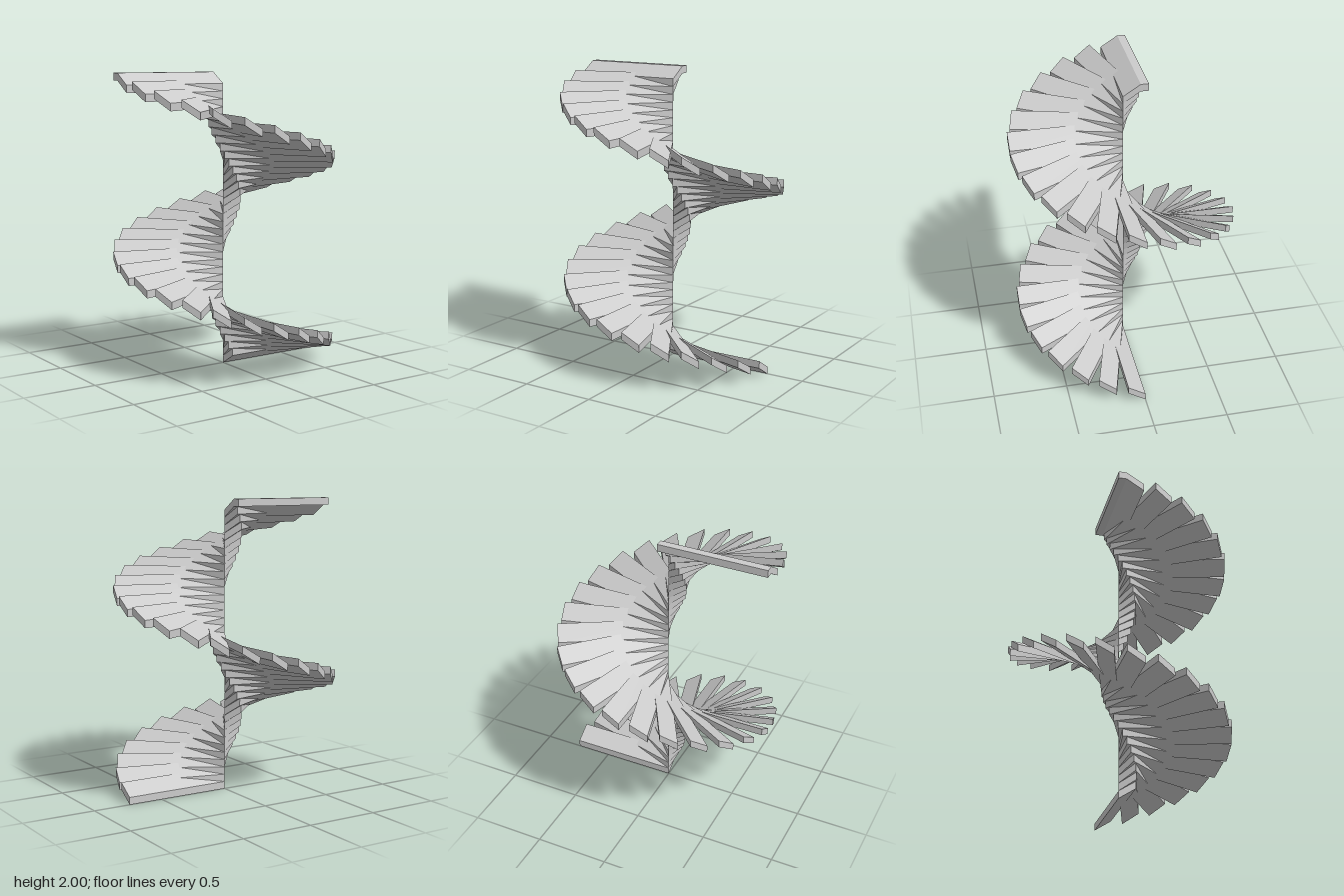
import * as THREE from 'three';

const STEPS = 36;            // intervals between slats
const TURN = Math.PI / 12;   // 15 degrees per slat
const RISE = 1.875 / STEPS;
const LENGTH = 0.742;
const WIDTH = 0.117;
const THICK = 0.05;
const SLOPE = 0.075;         // rise across one slat
const LIP = 0.053;           // flat strip on the last slat

// Extrude a cross-section outward from the axis along +z
function slatGeometry(points) {
  const shape = new THREE.Shape(points.map(([u, y]) => new THREE.Vector2(-u, y)));
  return new THREE.ExtrudeGeometry(shape, { depth: LENGTH, bevelEnabled: false });
}

export function createModel() {
  const model = new THREE.Group();
  model.name = 'spiralRamp';
  const material = new THREE.MeshStandardMaterial({ color: 0xcccccc, flatShading: true });

  // Sloping slat with vertical edges
  const slat = slatGeometry([
    [0, 0], [0, THICK], [WIDTH, SLOPE + THICK], [WIDTH, SLOPE],
  ]);

  // Final slat ends in a level lip
  const topSlat = slatGeometry([
    [0, 0], [0, THICK], [WIDTH, SLOPE + THICK], [WIDTH + LIP, SLOPE + THICK],
    [WIDTH + LIP, SLOPE], [WIDTH, SLOPE],
  ]);

  // Slats climb around the axis for one and a half turns
  for (let i = 0; i <= STEPS; i++) {
    const last = i === STEPS;
    const mesh = new THREE.Mesh(last ? topSlat : slat, material);
    mesh.name = last ? 'topSlat' : `slat${i + 1}`;
    mesh.position.y = i * RISE;
    mesh.rotation.y = Math.PI / 2 - i * TURN;
    model.add(mesh);
  }
  return model;
}
